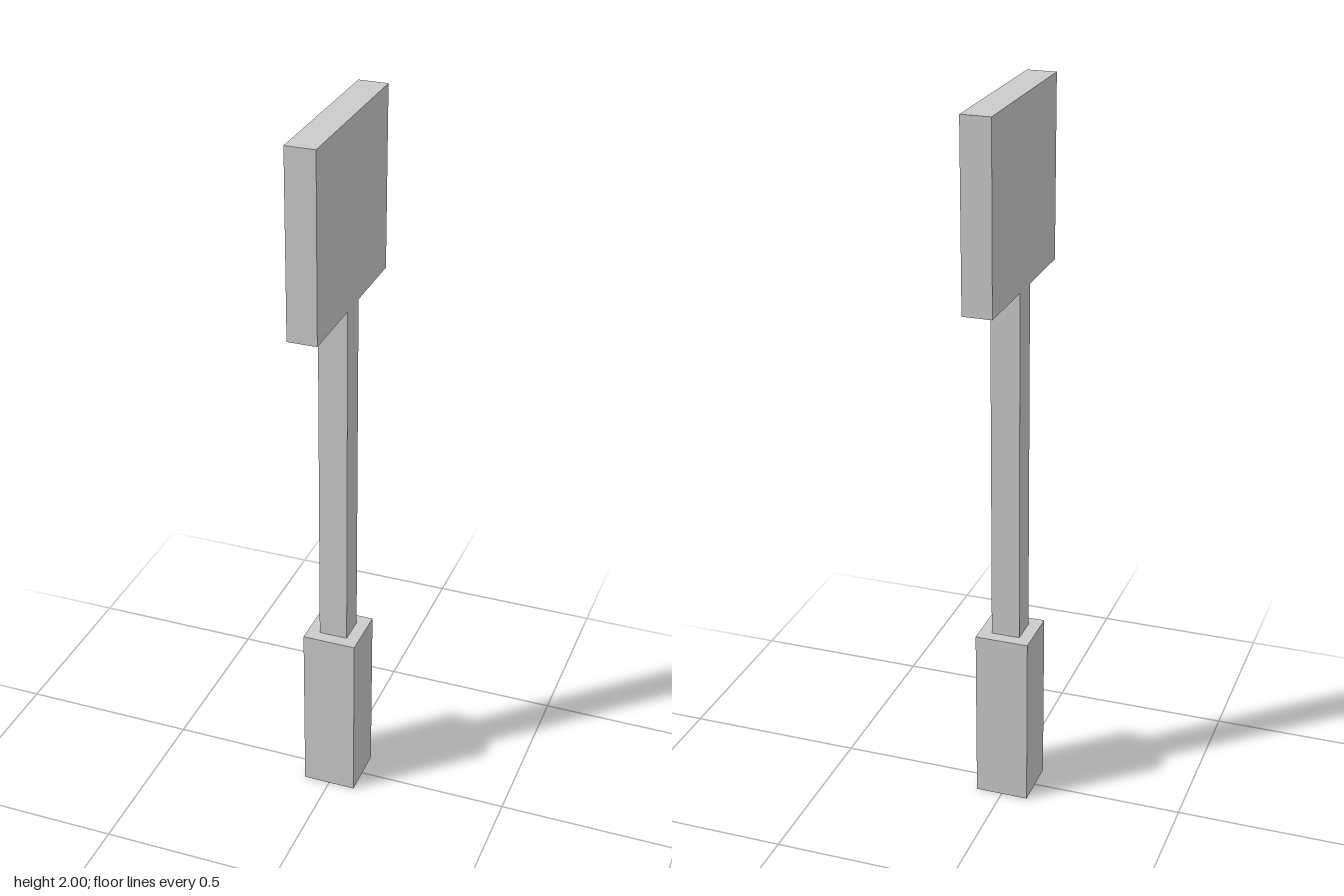
import * as THREE from 'three';

const material = new THREE.MeshStandardMaterial({ color: 0xcccccc, flatShading: true });

// Box standing on height y, centred on the vertical axis
function block(name, width, height, depth, y) {
  const mesh = new THREE.Mesh(new THREE.BoxGeometry(width, height, depth), material);
  mesh.name = name;
  mesh.position.y = y + height / 2;
  return mesh;
}

export function createModel() {
  const model = new THREE.Group();
  model.name = 'paddle';
  model.add(
    block('grip', 0.15, 0.5, 0.15, 0),    // thick lower handle
    block('shaft', 0.08, 1, 0.08, 0.5),   // slim square shaft
    block('blade', 0.08, 0.5, 0.5, 1.5),  // square panel, flush with the shaft
  );
  return model;
}
